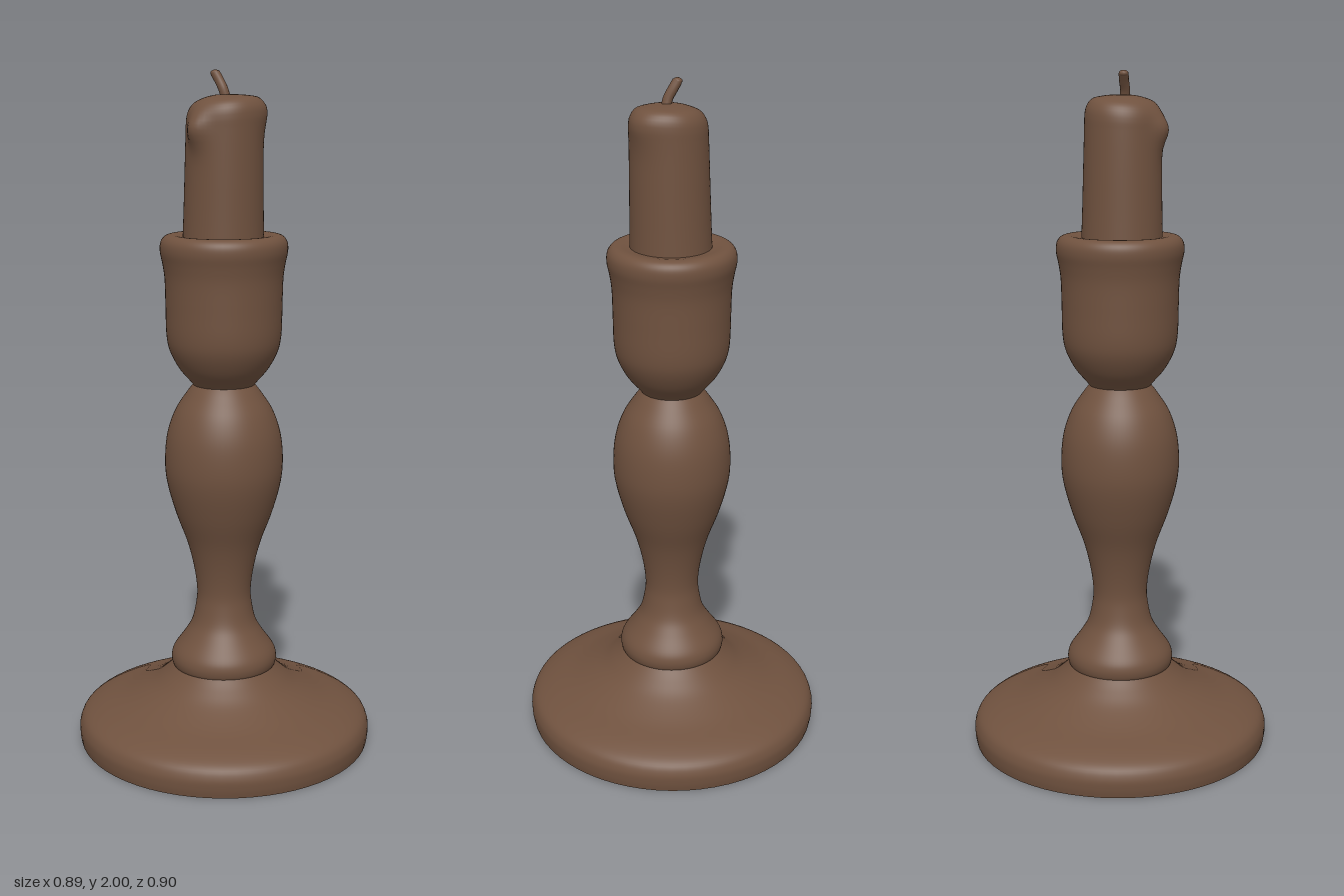
import * as THREE from 'three';
import { mergeVertices } from 'three/addons/utils/BufferGeometryUtils.js';

const brown = new THREE.MeshStandardMaterial({ color: 0x70523f });
brown.name = 'brown';

// Smooth curve through [radius, height] points
function smooth(points, count) {
  return new THREE.SplineCurve(points.map(([r, y]) => new THREE.Vector2(r, y))).getPoints(count);
}

// Turned part: revolve a smoothed profile
function turned(name, points, count = 40) {
  const mesh = new THREE.Mesh(new THREE.LatheGeometry(smooth(points, count), 64), brown);
  mesh.name = name;
  return mesh;
}

// Signed smallest difference between two angles
const angleGap = (a, b) => Math.atan2(Math.sin(a - b), Math.cos(a - b));
const bump = (d, width) => Math.exp(-((d / width) ** 2));

// Candle with a leaning body, melted shoulder and wax drips
function candle() {
  const profile = [
    ...smooth([[0.118, 1.5], [0.115, 1.6], [0.112, 1.75], [0.11, 1.85]], 16),
    ...smooth([[0.11, 1.86], [0.106, 1.89], [0.09, 1.915], [0.06, 1.926], [0.03, 1.931], [0, 1.932]], 16),
  ];
  let geometry = new THREE.LatheGeometry(profile, 64);
  const p = geometry.attributes.position;
  const drips = [
    { angle: Math.atan2(0.08, -0.11), y: 1.84, out: 0.026, width: 0.3 },
    { angle: Math.atan2(0.035, 0.12), y: 1.88, out: 0.012, width: 0.5 },
  ];
  for (let i = 0; i < p.count; i++) {
    const x = p.getX(i), y = p.getY(i), z = p.getZ(i);
    const r = Math.hypot(x, z), angle = Math.atan2(z, x);
    let push = 0;
    for (const d of drips) push += d.out * bump(angleGap(angle, d.angle), d.width) * bump(y - d.y, 0.05);
    const k = 1 + push / 0.11;
    const up = Math.max(0, (y - 1.5) / 0.43);
    // The right shoulder stands higher than the left
    const tilt = y > 1.8 ? 0.1 * x * Math.min(1, (y - 1.8) / 0.08) * Math.min(1, r / 0.09) : 0;
    p.setXYZ(i, x * k + 0.004 * up - 0.003, y + tilt, z * k + 0.004 + 0.007 * up);
  }
  geometry.deleteAttribute('normal');
  geometry.deleteAttribute('uv');
  geometry = mergeVertices(geometry, 1e-5);
  geometry.computeVertexNormals();
  const mesh = new THREE.Mesh(geometry, brown);
  mesh.name = 'candle';
  return mesh;
}

// Bent wick with a closed tip
function wick() {
  const group = new THREE.Group();
  group.name = 'wick';
  const path = new THREE.CatmullRomCurve3([
    new THREE.Vector3(0.004, 1.915, 0.018),
    new THREE.Vector3(-0.004, 1.945, 0.014),
    new THREE.Vector3(-0.014, 1.97, 0.004),
    new THREE.Vector3(-0.024, 1.99, -0.004),
  ]);
  const stem = new THREE.Mesh(new THREE.TubeGeometry(path, 12, 0.014, 12), brown);
  stem.name = 'wickStem';
  const tip = new THREE.Mesh(new THREE.SphereGeometry(0.014, 12, 8), brown);
  tip.name = 'wickTip';
  tip.scale.y = 0.7;
  tip.position.copy(path.getPoint(1));
  group.add(stem, tip);
  return group;
}

export function createModel() {
  const model = new THREE.Group();
  model.name = 'candlestick';

  // Wide dished foot, slightly deeper than wide
  const foot = turned('foot', [
    [0.438, 0], [0.442, 0.025], [0.441, 0.055], [0.425, 0.084], [0.38, 0.108], [0.3, 0.135],
    [0.225, 0.172], [0.18, 0.207], [0.152, 0.235],
  ]);
  foot.scale.z = 1.012;

  const underside = new THREE.Mesh(new THREE.CircleGeometry(0.438, 64), brown);
  underside.name = 'footUnderside';
  underside.rotation.x = Math.PI / 2;
  underside.scale.y = 1.012;

  // Collar and baluster stem
  const stem = turned('stem', [
    [0.15, 0.228], [0.157, 0.24], [0.159, 0.262], [0.15, 0.288], [0.12, 0.33], [0.097, 0.37],
    [0.085, 0.42], [0.081, 0.47], [0.09, 0.54], [0.11, 0.62], [0.143, 0.71], [0.168, 0.8],
    [0.175, 0.87], [0.168, 0.95], [0.145, 1.02], [0.11, 1.075], [0.088, 1.103],
  ], 72);

  // Cup with a flared, rolled rim
  const cup = turned('cup', [
    [0.084, 1.092], [0.1, 1.112], [0.132, 1.15], [0.158, 1.2], [0.168, 1.25], [0.17, 1.33],
    [0.172, 1.41], [0.178, 1.455], [0.185, 1.49], [0.183, 1.517], [0.17, 1.534], [0.15, 1.538],
    [0.125, 1.534], [0.1, 1.53],
  ], 56);

  model.add(foot, underside, stem, cup, candle(), wick());
  return model;
}
